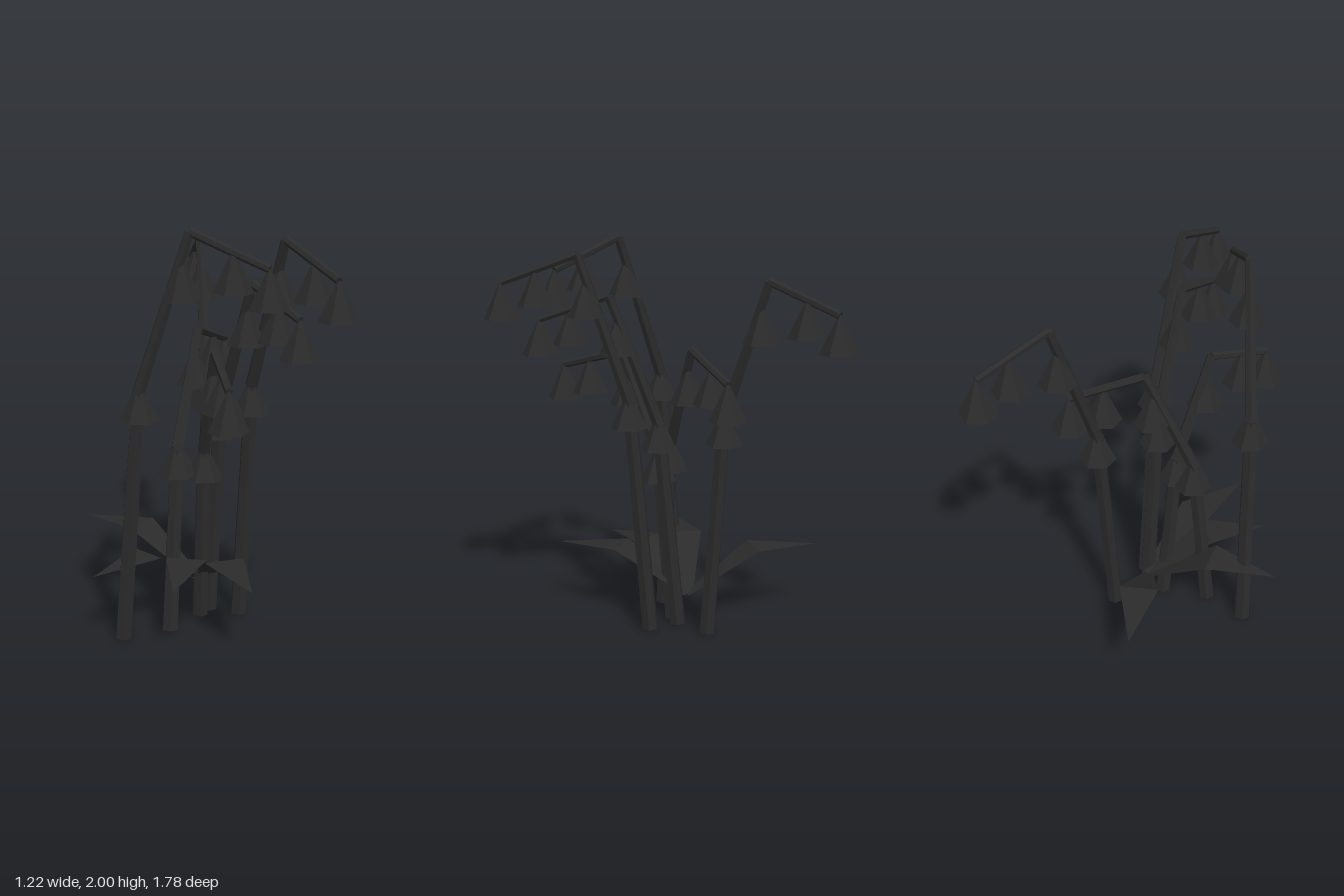
import * as THREE from 'three';

const plantMaterial = new THREE.MeshStandardMaterial({ color: 0x2b2b2b, flatShading: true });
const leafMaterial = new THREE.MeshStandardMaterial({ color: 0x2b2b2b, flatShading: true, side: THREE.DoubleSide });

const vec = (p) => new THREE.Vector3(...p);

// Tapered six-sided rod between two points
function rod(name, from, to, r0, r1) {
  const dir = to.clone().sub(from);
  const mesh = new THREE.Mesh(new THREE.CylinderGeometry(r1, r0, dir.length(), 6), plantMaterial);
  mesh.name = name;
  mesh.position.copy(from).addScaledVector(dir, 0.5);
  mesh.quaternion.setFromUnitVectors(new THREE.Vector3(0, 1, 0), dir.normalize());
  return mesh;
}

// Six-sided bell, corners on the x axis, rim at y = 0
const bellGeometry = new THREE.CylinderGeometry(0.008, 0.094, 0.18, 6).rotateY(Math.PI / 2).translate(0, 0.09, 0);

function bell(at, drop) {
  const mesh = new THREE.Mesh(bellGeometry, plantMaterial);
  mesh.name = 'bellFlower';
  mesh.position.copy(at);
  mesh.position.y -= drop;
  return mesh;
}

// Stem that leans, bends at a knee, then nods over at the apex
function floweringStem(basePoint, apexPoint, tipPoint) {
  const group = new THREE.Group();
  group.name = 'floweringStem';
  const base = vec(basePoint), apex = vec(apexPoint), tip = vec(tipPoint);
  const knee = base.clone().lerp(apex, 0.28);
  knee.y = apex.y * 0.625;
  group.add(
    rod('lowerStem', base, knee, 0.042, 0.035),
    rod('upperStem', knee, apex, 0.032, 0.023),
    rod('noddingArm', apex, tip, 0.021, 0.019),
    bell(knee, 0.135),
    bell(knee.clone().lerp(apex, 0.84), 0.19),
    bell(apex.clone().lerp(tip, 0.55), 0.18),
    bell(tip, 0.18),
  );
  return group;
}

// Flat leaf that rises to its widest point, then droops slightly to the tip
function leaf(rootPoint, tipPoint) {
  const root = vec(rootPoint), tip = vec(tipPoint);
  const middle = root.clone().lerp(tip, 0.5).setY(0.385);
  const across = new THREE.Vector3(tip.z - root.z, 0, root.x - tip.x).normalize();
  const offset = (p, d) => p.clone().addScaledVector(across, d);
  const points = [offset(root, -0.03), offset(root, 0.03), offset(middle, -0.1), offset(middle, 0.1), tip];
  const geometry = new THREE.BufferGeometry().setFromPoints(points);
  geometry.setIndex([0, 1, 3, 0, 3, 2, 2, 3, 4]);
  geometry.computeVertexNormals();
  const mesh = new THREE.Mesh(geometry, leafMaterial);
  mesh.name = 'leaf';
  return mesh;
}

export function createModel() {
  const model = new THREE.Group();
  model.name = 'bellFlowerPlant';

  // base, apex and tip of each stem
  const stems = [
    [[-0.43, 0.005, 0.43], [-0.11, 1.98, 0.56], [0.23, 1.83, 0.70]],
    [[-0.20, 0.005, 0.35], [-0.04, 1.45, 0.04], [0.12, 1.34, -0.29]],
    [[0.155, 0.005, 0.165], [0.33, 1.93, 0.46], [0.52, 1.79, 0.79]],
    [[0.02, 0.005, -0.10], [0.0, 1.83, -0.44], [-0.02, 1.70, -0.81]],
    [[-0.04, 0.005, 0.165], [0.01, 1.41, 0.45], [0.045, 1.31, 0.81]],
    [[0.01, 0.005, 0.095], [0.19, 1.72, 0.38], [0.37, 1.60, 0.68]],
  ];
  for (const stem of stems) model.add(floweringStem(...stem));

  // fan of leaves from a shared root
  const leafRoot = [-0.04, 0.155, 0.07];
  const leafTips = [[-0.61, 0.365, -0.37], [-0.57, 0.355, 0.52], [-0.20, 0.345, 0.71], [0.16, 0.36, 0.78]];
  for (const tip of leafTips) model.add(leaf(leafRoot, tip));

  return model;
}
